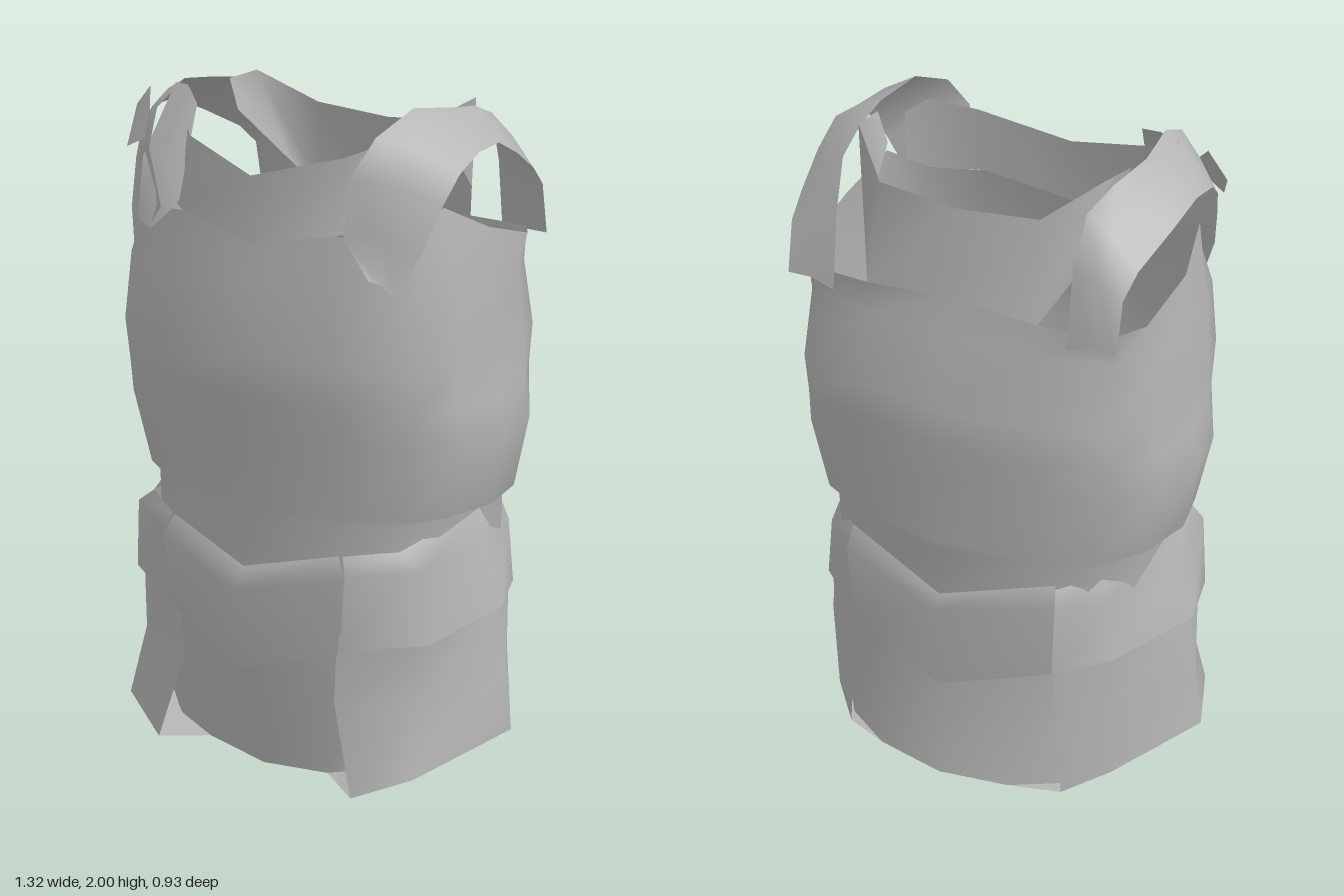
import * as THREE from 'three';

const grey = new THREE.MeshStandardMaterial({ color: 0xb4b4b4, side: THREE.DoubleSide });
grey.name = 'plain grey';

// skin between rows of [x, y, z] points, smooth shaded
function loft(name, rows, closed = false) {
  const n = rows[0].length, index = [];
  for (let r = 0; r < rows.length - 1; r++) {
    for (let c = 0; c < (closed ? n : n - 1); c++) {
      const a = r * n + c, d = r * n + (c + 1) % n;
      index.push(a, a + n, d, d, a + n, d + n);
    }
  }
  const g = new THREE.BufferGeometry();
  g.setAttribute('position', new THREE.Float32BufferAttribute(rows.flat(2), 3));
  g.setIndex(index);
  g.computeVertexNormals();
  const mesh = new THREE.Mesh(g, grey);
  mesh.name = name;
  return mesh;
}

const flip = ([x, y, z]) => [-x, y, z];
// half ring from front centre round +x to back centre -> whole ring
const ring = half => [...half, ...half.slice(1, -1).reverse().map(flip)];
// row starting at x = 0 -> row running from -x to +x
const span = half => [...half.slice(1).reverse().map(flip), ...half];
// rows copied to the other side, reversed so that faces stay outward
const mirrorRows = rows => rows.map(row => row.map(flip).reverse());
// level half ring: half width, front depth, back depth, boxiness 0..1
const level = (y, w, f, b, k) => [
  [0, y, f], [w * 0.52, y, f * (0.87 + 0.05 * k)], [w * (0.8 + 0.08 * k), y, f * (0.67 + 0.07 * k)],
  [w * (0.94 + 0.03 * k), y, f * 0.38], [w, y, 0],
  [w * (0.94 + 0.03 * k), y, -b * 0.42], [w * (0.78 + 0.07 * k), y, -b * (0.72 + 0.07 * k)],
  [w * 0.47, y, -b * (0.88 + 0.05 * k)], [0, y, -b]];

export function createModel() {
  const model = new THREE.Group();
  model.name = 'armouredVest';

  // torso shell with neckline and armholes in its top edge, stepped in at the waist
  const neckline = [
    [0, 1.61, 0.375], [0.27, 1.66, 0.34], [0.44, 1.65, 0.3], [0.51, 1.74, 0.17], [0.55, 1.66, 0],
    [0.54, 1.6, -0.22], [0.47, 1.59, -0.33], [0.27, 1.59, -0.34], [0, 1.61, -0.345]];
  model.add(loft('torso', [
    neckline,
    level(1.5, 0.57, 0.4, 0.375, 1),
    level(1.3, 0.58, 0.435, 0.43, 1),
    level(1.18, 0.59, 0.432, 0.43, 0.7),
    level(1.07, 0.618, 0.425, 0.43, 0.3),
    level(0.85, 0.575, 0.41, 0.425, 0),
    level(0.83, 0.535, 0.41, 0.42, 0),
    level(0.6, 0.535, 0.4, 0.4, 0),
  ].map(ring), true));

  // skirt under the belt
  model.add(loft('skirt', [
    level(0.6, 0.54, 0.4, 0.4, 0),
    level(0.4, 0.55, 0.4, 0.4, 0),
    [[0, 0, 0.33], [0.22, 0.02, 0.31], [0.34, 0.06, 0.3], [0.5, 0.1, 0.18], [0.58, 0.12, 0],
      [0.48, 0.1, -0.2], [0.37, 0.06, -0.34], [0.22, 0.05, -0.42], [0, 0.04, -0.45]],
  ].map(ring), true));

  // floor closing the skirt out to the rim of the hip plates
  const rim = [
    [0, 0, 0.33], [0.22, 0.02, 0.31], [0.36, 0.01, 0.39], [0.53, 0.09, 0.32], [0.66, 0.165, 0],
    [0.48, 0.08, -0.25], [0.37, 0.04, -0.36], [0.22, 0.05, -0.42], [0, 0.04, -0.45]];
  model.add(loft('skirtFloor', [rim, rim.map(() => [0, 0.1, 0])].map(ring), true));

  // pointed belt plates, front and back
  model.add(loft('frontBelt', [
    [[0, 0.66, 0.42], [0.3, 0.74, 0.365]],
    [[0, 0.6, 0.47], [0.33, 0.68, 0.385]],
    [[0, 0.35, 0.445], [0.3, 0.44, 0.37]],
  ].map(span)));
  model.add(loft('backBelt', [
    [[0, 0.68, -0.43], [0.34, 0.77, -0.35]],
    [[0, 0.64, -0.46], [0.35, 0.7, -0.375]],
    [[0, 0.37, -0.45], [0.34, 0.47, -0.37]],
  ].map(r => span(r).reverse())));

  // hip bands and flared, slightly dished hip plates
  const band = [
    [[0.31, 0.74, 0.36], [0.45, 0.76, 0.28], [0.535, 0.83, 0], [0.44, 0.78, -0.26], [0.33, 0.75, -0.35]],
    [[0.33, 0.69, 0.38], [0.52, 0.71, 0.27], [0.56, 0.72, 0], [0.47, 0.7, -0.27], [0.35, 0.7, -0.375]],
    [[0.31, 0.45, 0.37], [0.54, 0.49, 0.26], [0.62, 0.545, 0], [0.49, 0.51, -0.27], [0.34, 0.47, -0.37]],
  ];
  const plate = [
    [[0.29, 0.5, 0.36], [0.52, 0.53, 0.25], [0.6, 0.55, 0], [0.48, 0.53, -0.26], [0.34, 0.5, -0.36]],
    [[0.28, 0.28, 0.36], [0.5, 0.3, 0.27], [0.635, 0.36, 0], [0.48, 0.3, -0.26], [0.35, 0.28, -0.36]],
    rim.slice(2, 7),
  ];
  // shoulder strap: inner edge, then lower outer edge
  const inner = [
    [0.4, 1.56, 0.37], [0.32, 1.67, 0.375], [0.35, 1.84, 0.385], [0.38, 1.94, 0.31], [0.4, 2, 0.16],
    [0.42, 1.98, 0], [0.4, 1.96, -0.15], [0.38, 1.92, -0.27], [0.37, 1.77, -0.33], [0.37, 1.55, -0.36]];
  const outer = [
    [0.46, 1.51, 0.33], [0.51, 1.63, 0.28], [0.54, 1.76, 0.22], [0.56, 1.84, 0.17], [0.575, 1.89, 0.1],
    [0.575, 1.9, 0], [0.56, 1.85, -0.12], [0.53, 1.78, -0.26], [0.52, 1.72, -0.33], [0.52, 1.57, -0.36]];
  const ridge = inner.map((p, i) => p.map((v, k) => (v + outer[i][k]) / 2 + (k === 1 ? 0.012 : 0)));
  for (const [side, place] of [['left', r => r], ['right', mirrorRows]]) {
    model.add(loft(side + 'HipBand', place(band)));
    model.add(loft(side + 'HipPlate', place(plate)));
    model.add(loft(side + 'ShoulderStrap', place([inner, ridge, outer])));
  }

  // loose fold and knot beside the right strap
  model.add(loft('strapFold', [
    [[-0.45, 1.98, 0.14], [-0.38, 1.985, 0.17], [-0.29, 1.95, 0.24]],
    [[-0.42, 1.8, 0.33], [-0.35, 1.8, 0.34], [-0.28, 1.69, 0.34]],
    [[-0.42, 1.62, 0.36], [-0.36, 1.6, 0.375], [-0.3, 1.66, 0.355]],
  ]));
  model.add(loft('strapKnot', [
    [[-0.6, 1.9, 0.14], [-0.53, 1.965, 0.16]],
    [[-0.54, 1.8, 0.26], [-0.42, 1.85, 0.3]],
  ]));

  // collar rising from the neckline and running up under the straps
  model.add(loft('backCollar', [
    [[0, 1.86, -0.3], [0.25, 1.88, -0.29], [0.39, 1.98, -0.17], [0.4, 1.97, -0.05]],
    [[0, 1.61, -0.345], [0.27, 1.59, -0.34], [0.33, 1.7, -0.25], [0.37, 1.88, -0.05]],
  ].map(r => span(r).reverse())));
  model.add(loft('frontCollar', [
    [[0, 1.8, 0.37], [0.27, 1.87, 0.3], [0.38, 1.92, 0.2], [0.44, 1.88, 0.16]],
    [[0, 1.61, 0.375], [0.27, 1.66, 0.34], [0.38, 1.68, 0.26], [0.45, 1.72, 0.18]],
  ].map(span)));

  return model;
}
